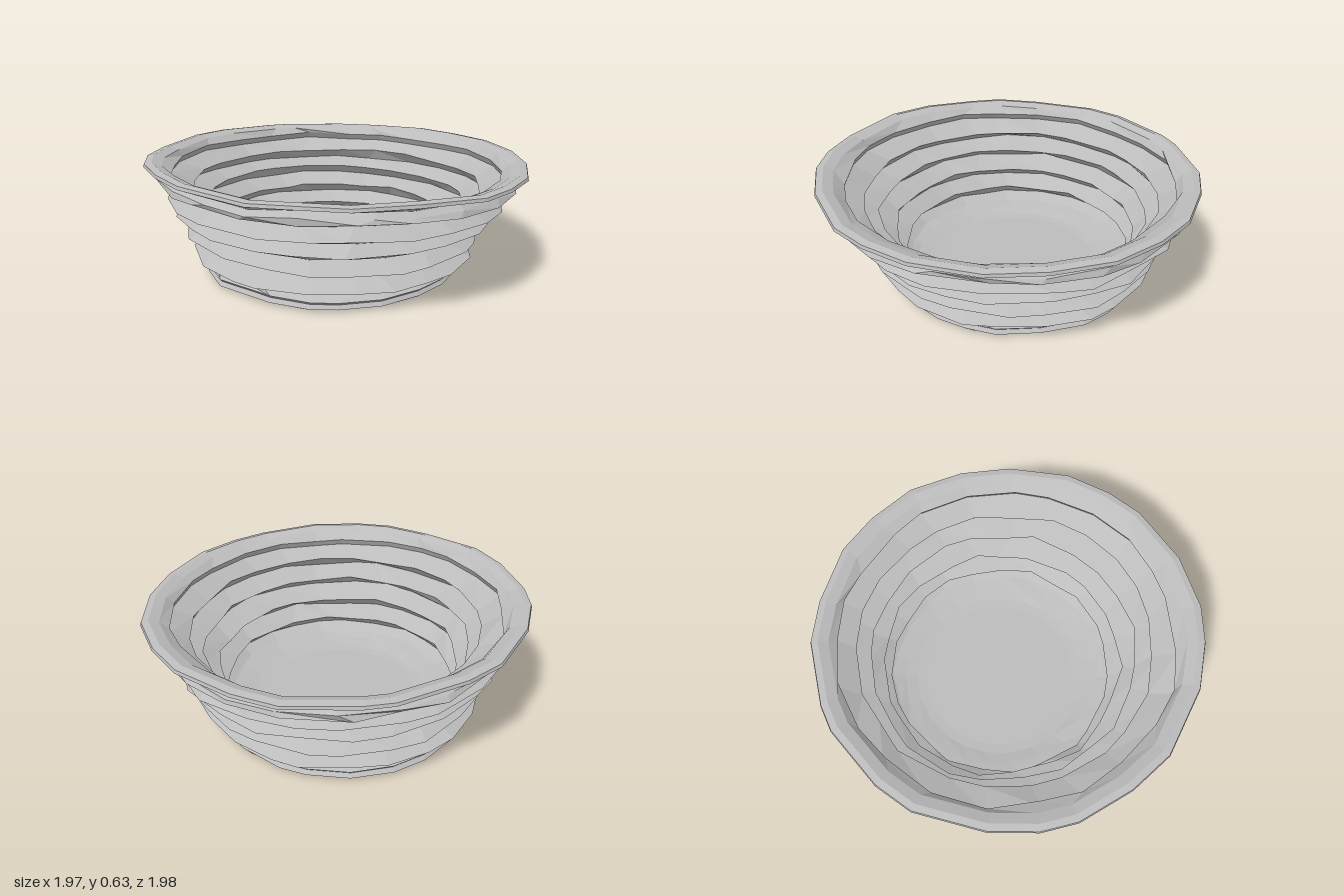
import * as THREE from 'three';

const SIDES = 23;

// Repeatable value between -1 and 1 for a grid cell
function jitter(a, b) {
  const s = Math.sin(a * 127.1 + b * 311.7 + 5.3) * 43758.5453;
  return (s - Math.floor(s)) * 2 - 1;
}

export function createModel() {
  const model = new THREE.Group();
  model.name = 'ribbedBowl';
  const clay = new THREE.MeshStandardMaterial({ color: 0xbcbcbc, flatShading: true });
  clay.name = 'paleGrey';

  // Underside with a shallow hollow, then the foot
  const foot = [[0, 0.03], [0.42, 0.03], [0.47, 0.015], [0.66, 0.012], [0.69, 0.025], [0.675, 0.045], [0.69, 0.06]];
  // Outer wall: alternating valleys and ridges
  const outer = [
    [0.66, 0.08], [0.75, 0.12], [0.65, 0.17], [0.78, 0.225], [0.69, 0.275], [0.83, 0.33],
    [0.75, 0.38], [0.88, 0.425], [0.81, 0.475], [0.935, 0.52], [0.935, 0.545], [0.905, 0.57],
  ];
  // Flared rim
  const rim = [[0.99, 0.597], [0.985, 0.612], [0.95, 0.618], [0.9, 0.6]];
  // Inner wall follows the ribs inside the wall thickness
  const inner = [
    [0.86, 0.565], [0.88, 0.53], [0.765, 0.475], [0.82, 0.425], [0.7, 0.38], [0.76, 0.33],
    [0.64, 0.275], [0.7, 0.225], [0.6, 0.17], [0.66, 0.12], [0.6, 0.085],
  ];
  const floor = [[0.54, 0.07], [0.47, 0.055], [0.42, 0.05], [0, 0.05]];

  const profile = [...foot, ...outer, ...rim, ...inner, ...floor].map(([r, y]) => new THREE.Vector2(r, y));
  const geometry = new THREE.LatheGeometry(profile, SIDES);

  // Hand-shaped unevenness: inner and outer wall share it at each height
  const pos = geometry.attributes.position;
  for (let i = 0; i < pos.count; i++) {
    const point = profile[i % profile.length];
    const side = Math.floor(i / profile.length) % SIDES;
    const band = Math.round(point.y * 20);
    const up = Math.min(1, point.y / 0.6);
    const wall = point.x > 0.5 ? 1 : 0;
    const radius = point.x > 0 ? point.x + wall * 0.016 * jitter(side, band) * (up > 0.97 ? 0.5 : 1) : 0;
    const angle = ((side + wall * 0.25 * jitter(side + 40, band)) / SIDES) * Math.PI * 2;
    const x = radius * Math.sin(angle);
    const z = radius * Math.cos(angle);
    const lift = wall * 0.008 * jitter(side + 90, band) * Math.min(1, up * 3);
    const tilt = (-0.018 * x - 0.008 * z) * Math.min(1, up * 2);
    pos.setXYZ(i, x + 0.025 * (1 - up), Math.max(0, point.y + lift + tilt), z - 0.06 * (1 - up));
  }
  geometry.computeVertexNormals();

  const bowl = new THREE.Mesh(geometry, clay);
  bowl.name = 'bowl';
  model.add(bowl);
  return model;
}
